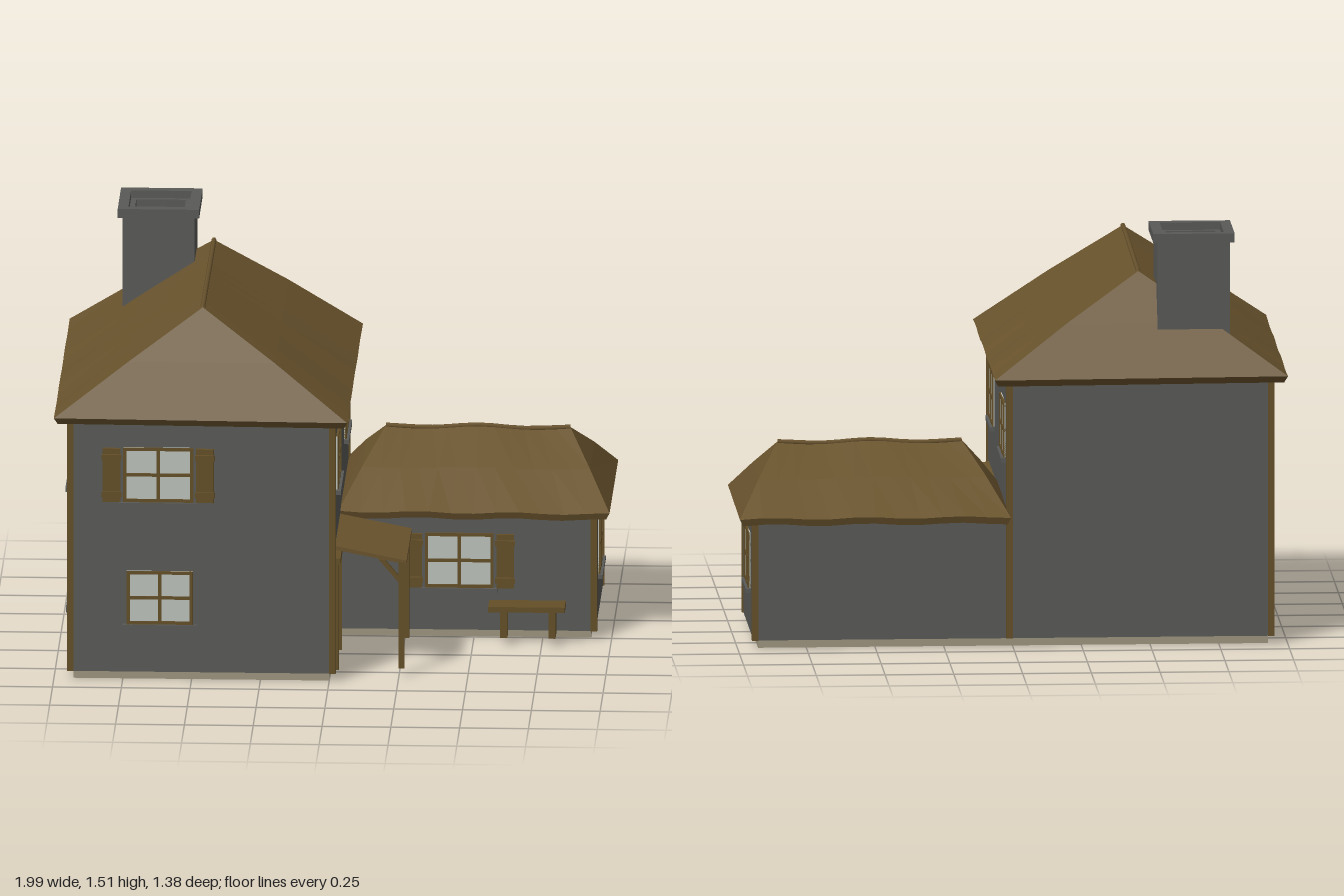
import * as THREE from 'three';

const mat = (name, color) => {
  const m = new THREE.MeshStandardMaterial({ color });
  m.name = name;
  return m;
};

export function createModel() {
  const stone = mat('grey stone', 0x595a57);
  const timber = mat('brown timber', 0x644f28);
  const thatch = mat('brown thatch', 0x69532d);
  const plaster = mat('beige plaster', 0x9d957f);
  const glass = mat('pale glass', 0xbcc3bb);
  const house = new THREE.Group();
  house.name = 'cottage';

  const add = (name, geo, material, parent = house) => {
    const m = new THREE.Mesh(geo, material);
    m.name = name;
    parent.add(m);
    return m;
  };
  // Box given by its minimum and maximum along each axis
  const block = (name, x0, x1, y0, y1, z0, z1, material, parent = house) => {
    const g = new THREE.BoxGeometry(x1 - x0, y1 - y0, z1 - z0);
    g.translate((x0 + x1) / 2, (y0 + y1) / 2, (z0 + z1) / 2);
    return add(name, g, material, parent);
  };
  const polygon = (pts, C = THREE.Shape) => new C(pts.map(p => new THREE.Vector2(...p)));
  const rect = (x0, x1, y0, y1, C) => polygon([[x0, y0], [x1, y0], [x1, y1], [x0, y1]], C);
  const extrude = (shape, depth) => new THREE.ExtrudeGeometry(shape, { depth, bevelEnabled: false });

  // Foundation, L-shaped in plan (shape y is -z)
  const plan = polygon([[-0.93, -0.62], [0, -0.62], [0, 0.01], [0.925, 0.01], [0.925, 0.615], [-0.93, 0.615]]);
  add('foundation', extrude(plan, 0.032).rotateX(-Math.PI / 2), plaster);

  // Main walls; the right wall has the doorway
  const T = 0.02, L = -0.947, R = 0.018, F = 0.635;
  block('mainFrontWall', L, R, 0.03, 0.97, F - T, F, stone);
  block('mainBackWall', L, R, 0.03, 0.97, -F, -F + T, stone);
  block('mainLeftWall', L, L + T, 0.03, 0.97, -F + T, F - T, stone);
  const doorWall = rect(-F + T, F - T, 0.03, 0.97);
  doorWall.holes.push(rect(-0.56, -0.3, 0.031, 0.435, THREE.Path));
  add('mainRightWall', extrude(doorWall, T).rotateY(Math.PI / 2).translate(R - T, 0, 0), stone);

  // Room seen through the doorway
  block('leftLining', L + T, L + T + 0.006, 0.14, 0.5, -0.6, 0.61, plaster);
  block('frontLining', L + T, R - T, 0.14, 0.5, 0.607, 0.614, plaster);
  block('backLining', L + T, R - T, 0.14, 0.5, -0.614, -0.607, plaster);
  block('ceiling', L + T, R - T, 0.5, 0.51, -0.614, 0.614, plaster);

  // Wing walls
  block('wingFrontWall', R, 0.942, 0.03, 0.47, 0.01 - T, 0.01, stone);
  block('wingBackWall', R, 0.942, 0.03, 0.47, -F, -F + T, stone);
  block('wingRightWall', 0.942 - T, 0.942, 0.03, 0.47, -F + T, 0.01 - T, stone);

  // Timber corner posts
  const post = (x, z, top) => block('cornerPost', x - 0.012, x + 0.012, 0.03, top, z - 0.012, z + 0.012, timber);
  for (const z of [-0.628, 0.628]) for (const x of [-0.94, 0.012]) post(x, z, 0.97);
  for (const z of [-0.628, 0.004]) post(0.936, z, 0.47);

  // Hipped roof: ridge along z, rings of points rising from eave to ridge
  const hipRoof = (name, halfW, halfL, ridgeHalf, eave, lip, ridge, wave) => {
    const n = 12, loop = [];
    for (const s of [1, -1]) for (let i = 0; i <= n; i++) loop.push([s, s * (1 - 2 * i / n)]);
    const rings = [[0, eave], [0.975, eave], [1, eave + lip]];
    const pos = [], idx = [], N = loop.length;
    rings.forEach(([k, y]) => loop.forEach(([s, t]) =>
      pos.push(k * s * halfW, y + 0.004 * Math.sin(t * 9 + s), k * t * halfL)));
    for (const k of [0.5, 1]) loop.forEach(([s, t]) => pos.push(
      s * halfW * (1 - k),
      eave + lip + (ridge - eave - lip) * k + wave(t) * k + (k < 1 ? 0.006 : 0),
      t * (halfL + (ridgeHalf - halfL) * k)));
    for (let r = 0; r < 4; r++) for (let i = 0; i < N; i++) {
      const a = r * N + i, b = r * N + (i + 1) % N;
      idx.push(a, a + N, b, b, a + N, b + N);
    }
    let g = new THREE.BufferGeometry();
    g.setAttribute('position', new THREE.Float32BufferAttribute(pos, 3));
    g.setIndex(idx);
    // Corner order is reversed when the first slope faces inward
    const p = g.attributes.position, v = i => new THREE.Vector3().fromBufferAttribute(p, i);
    const a = 2 * N + 6, e1 = v(a + N).sub(v(a)), e2 = v(a + 1).sub(v(a));
    if (e1.cross(e2).y < 0) g.setIndex(idx.map((_, i) => idx[i - i % 3 + 2 - i % 3]));
    g = g.toNonIndexed();
    g.computeVertexNormals();
    const group = new THREE.Group();
    group.name = name;
    house.add(group);
    add('roofSlopes', g, thatch, group);
    const path = [-1, -0.5, 0, 0.5, 1].map(t => new THREE.Vector3(0, ridge + wave(t), t * ridgeHalf));
    add('ridgeCap', new THREE.TubeGeometry(new THREE.CatmullRomCurve3(path), 12, 0.009, 6), thatch, group);
    return group;
  };
  hipRoof('mainRoof', 0.533, 0.688, 0.485, 0.965, 0.025, 1.357, t => 0.006 * Math.sin(t * 2))
    .position.x = -0.465;
  const wingRoof = hipRoof('wingRoof', 0.378, 0.493, 0.335, 0.46, 0.025, 0.707, t => 0.006 * Math.cos(t * 5));
  wingRoof.rotation.y = Math.PI / 2;
  wingRoof.position.set(0.502, 0, -0.312);

  // Hollow chimney and its cap
  const tube = (name, out, inn, y0, y1) => {
    const s = rect(-out, out, -out, out);
    s.holes.push(rect(-inn, inn, -inn, inn, THREE.Path));
    add(name, extrude(s, y1 - y0).rotateX(-Math.PI / 2).translate(-0.66, y0, -0.468), stone);
  };
  tube('chimneyShaft', 0.131, 0.09, 1.02, 1.48);
  tube('chimneyCap', 0.148, 0.11, 1.475, 1.508);

  // Window facing +z with its centre at the origin, optional shutters
  const windowAt = (x, y, z, turn, w, h, shutters = false, sill = true) => {
    const g = new THREE.Group();
    g.name = 'window';
    g.position.set(x, y, z);
    g.rotation.y = turn;
    house.add(g);
    const a = w / 2, b = h / 2, f = 0.012;
    block('pane', -a, a, -b, b, -0.002, 0.004, glass, g);
    for (const s of [-1, 0, 1]) {
      const cx = s * (a - f / 2), cy = s * (b - f / 2);
      block('frameUpright', cx - f / 2, cx + f / 2, -b, b, -0.002, 0.009, timber, g);
      block('frameRail', -a, a, cy - f / 2, cy + f / 2, -0.002, 0.008, timber, g);
    }
    if (sill) block('sill', -a - 0.015, a + 0.015, -b - 0.016, -b, -0.002, 0.018, stone, g);
    if (shutters) for (const s of [-1, 1]) {
      const c = s * (a + 0.042);
      block('shutter', c - 0.032, c + 0.032, -b + 0.002, b - 0.002, 0.004, 0.018, timber, g);
      for (const y of [-0.07, 0.07])
        block('shutterBatten', c - 0.036, c + 0.036, y - 0.01, y + 0.01, 0.018, 0.028, timber, g);
    }
  };
  const Q = Math.PI / 2;
  windowAt(-0.62, 0.772, F, 0, 0.255, 0.205, true);
  windowAt(-0.615, 0.31, F, 0, 0.24, 0.2);
  windowAt(0.447, 0.292, 0.01, 0, 0.25, 0.205, true);
  windowAt(0.942, 0.292, -0.312, Q, 0.235, 0.205);
  for (const z of [0.325, -0.373]) windowAt(R, 0.772, z, Q, 0.25, 0.2);
  for (const z of [0.325, -0.19]) windowAt(L, 0.772, z, -Q, 0.25, 0.2);
  for (const z of [0.3, -0.15]) {
    windowAt(L, 0.31, z, -Q, 0.235, 0.2);
    windowAt(L + T + 0.006, 0.31, z, Q, 0.235, 0.2, false, false);
  }

  // Door frame and door swung into the room
  block('doorJamb', R - T, R + 0.015, 0.03, 0.44, 0.56, 0.586, timber);
  block('doorJamb', R - T, R + 0.015, 0.03, 0.44, 0.285, 0.306, timber);
  block('doorLintel', R - T, R + 0.022, 0.43, 0.455, 0.27, 0.6, timber);
  block('door', -0.25, -0.002, 0.035, 0.425, 0.285, 0.3, timber);
  for (let i = 0; i < 5; i++)
    block('doorBatten', -0.24, -0.01, 0.07 + i * 0.075, 0.09 + i * 0.075, 0.3, 0.306, timber);

  // Porch: sloping roof, posts and braces
  const porch = polygon([[R, 0.474], [0.278, 0.422], [0.278, 0.436], [R, 0.488]]);
  add('porchRoof', extrude(porch, 0.445).translate(0, 0, 0.107), thatch);
  const brace = polygon([[0.175, 0.44], [0.255, 0.345], [0.255, 0.37], [0.2, 0.435]]);
  for (const z of [0.112, 0.53]) {
    block('porchPost', 0.248, 0.27, 0.03, 0.432, z, z + 0.024, timber);
    add('porchBrace', extrude(brace, 0.016).translate(0, 0, z + 0.004), timber);
  }

  // Bench by the wing
  block('benchSeat', 0.557, 0.835, 0.13, 0.15, 0.035, 0.133, timber);
  for (const x of [0.6, 0.775]) block('benchLeg', x, x + 0.026, 0.03, 0.13, 0.045, 0.122, timber);

  // Table with a bowl inside the room
  block('tableTop', -0.6, -0.35, 0.163, 0.187, 0.31, 0.485, timber);
  for (const x of [-0.58, -0.39]) for (const z of [0.33, 0.443])
    block('tableLeg', x, x + 0.02, 0.03, 0.165, z, z + 0.022, timber);
  const bowl = [[0, 0], [0.025, 0], [0.05, 0.018], [0.045, 0.026], [0.02, 0.034], [0, 0.036]];
  add('bowl', new THREE.LatheGeometry(bowl.map(p => new THREE.Vector2(...p)), 14), timber)
    .position.set(-0.475, 0.187, 0.398);

  return house;
}
